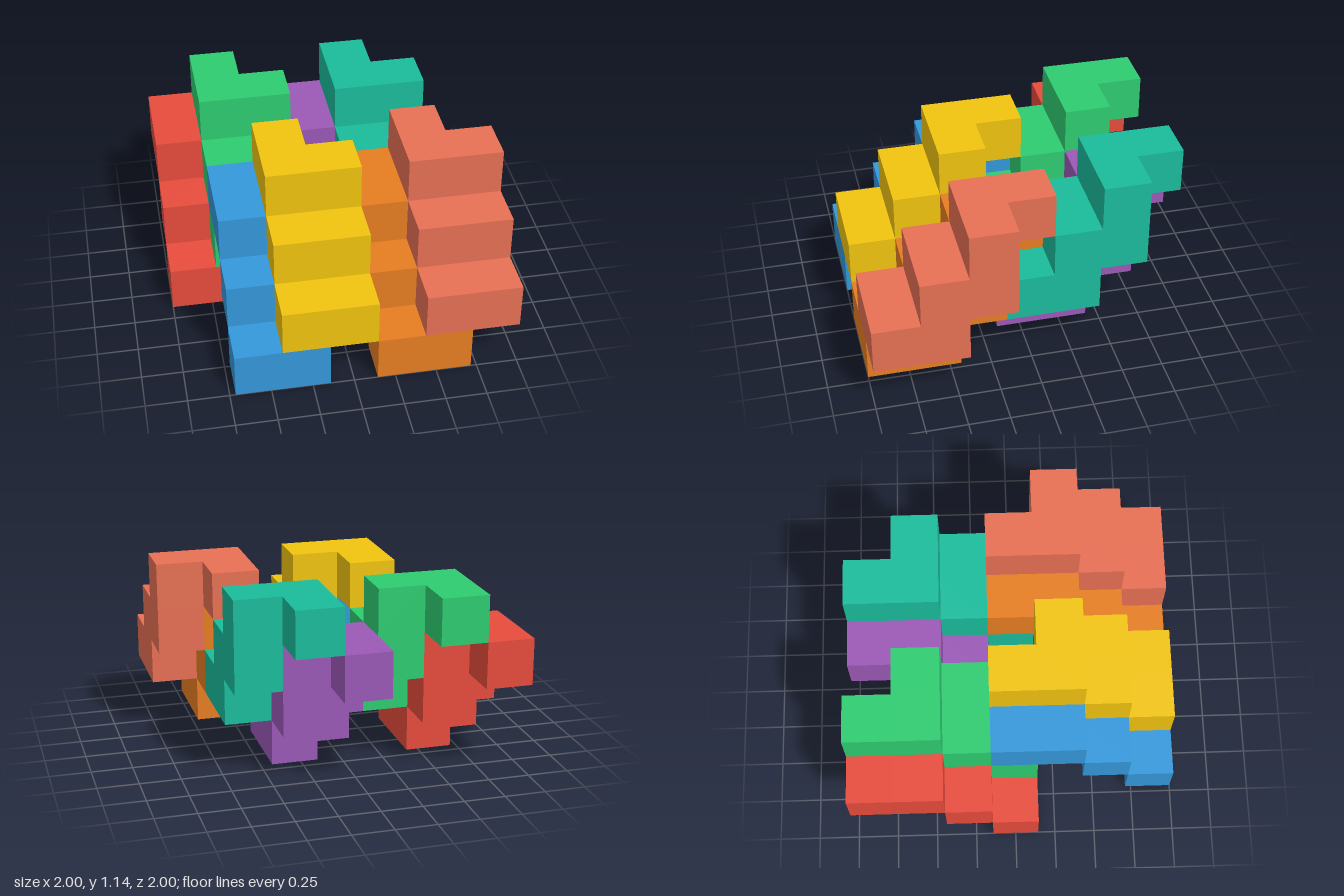
import * as THREE from 'three';
import { mergeGeometries } from 'three/addons/utils/BufferGeometryUtils.js';

const U = 2 / 7; // edge of one cube cell

// One stepped block: three L-shaped layers of cells [x, y, z], each one step further back
const CELLS = [
  [1, 0, 2], [0, 0, 3], [1, 0, 3],
  [1, 1, 1], [0, 1, 2], [1, 1, 2],
  [0, 2, 0], [0, 2, 1], [1, 2, 1],
];

// Face directions with the rotation that turns a +z plane towards them
const H = Math.PI / 2;
const SIDES = [
  { d: [0, 0, 1], rx: 0, ry: 0 },
  { d: [0, 0, -1], rx: 0, ry: Math.PI },
  { d: [1, 0, 0], rx: 0, ry: H },
  { d: [-1, 0, 0], rx: 0, ry: -H },
  { d: [0, 1, 0], rx: -H, ry: 0 },
  { d: [0, -1, 0], rx: H, ry: 0 },
];

// Outer skin of the block: only cell faces without a neighbouring cell
function blockGeometry() {
  const filled = new Set(CELLS.map(String));
  const faces = [];
  for (const cell of CELLS) {
    for (const { d, rx, ry } of SIDES) {
      if (filled.has(String(cell.map((c, i) => c + d[i])))) continue;
      const centre = cell.map((c, i) => (c + 0.5 + d[i] / 2) * U);
      faces.push(new THREE.PlaneGeometry(U, U).rotateX(rx).rotateY(ry).translate(...centre));
    }
  }
  return mergeGeometries(faces);
}

// Interlocking copies: name, colour, cell offset
const BLOCKS = [
  ['redBlock', 0xe74c3c, [0, 0, 0]],
  ['greenBlock', 0x2ecc71, [1, 1, 0]],
  ['purpleBlock', 0x9b59b6, [3, 0, 0]],
  ['tealBlock', 0x1abc9c, [4, 1, 0]],
  ['blueBlock', 0x3498db, [1, 0, 3]],
  ['yellowBlock', 0xf1c40f, [2, 1, 3]],
  ['orangeBlock', 0xe67e22, [4, 0, 3]],
  ['salmonBlock', 0xe77054, [5, 1, 3]],
];

export function createModel() {
  const group = new THREE.Group();
  group.name = 'interlockingBlocks';
  const geometry = blockGeometry();
  for (const [name, color, [x, y, z]] of BLOCKS) {
    const mesh = new THREE.Mesh(geometry, new THREE.MeshStandardMaterial({ color }));
    mesh.name = name;
    mesh.position.set(x * U - 1, y * U, z * U - 1);
    group.add(mesh);
  }
  return group;
}
